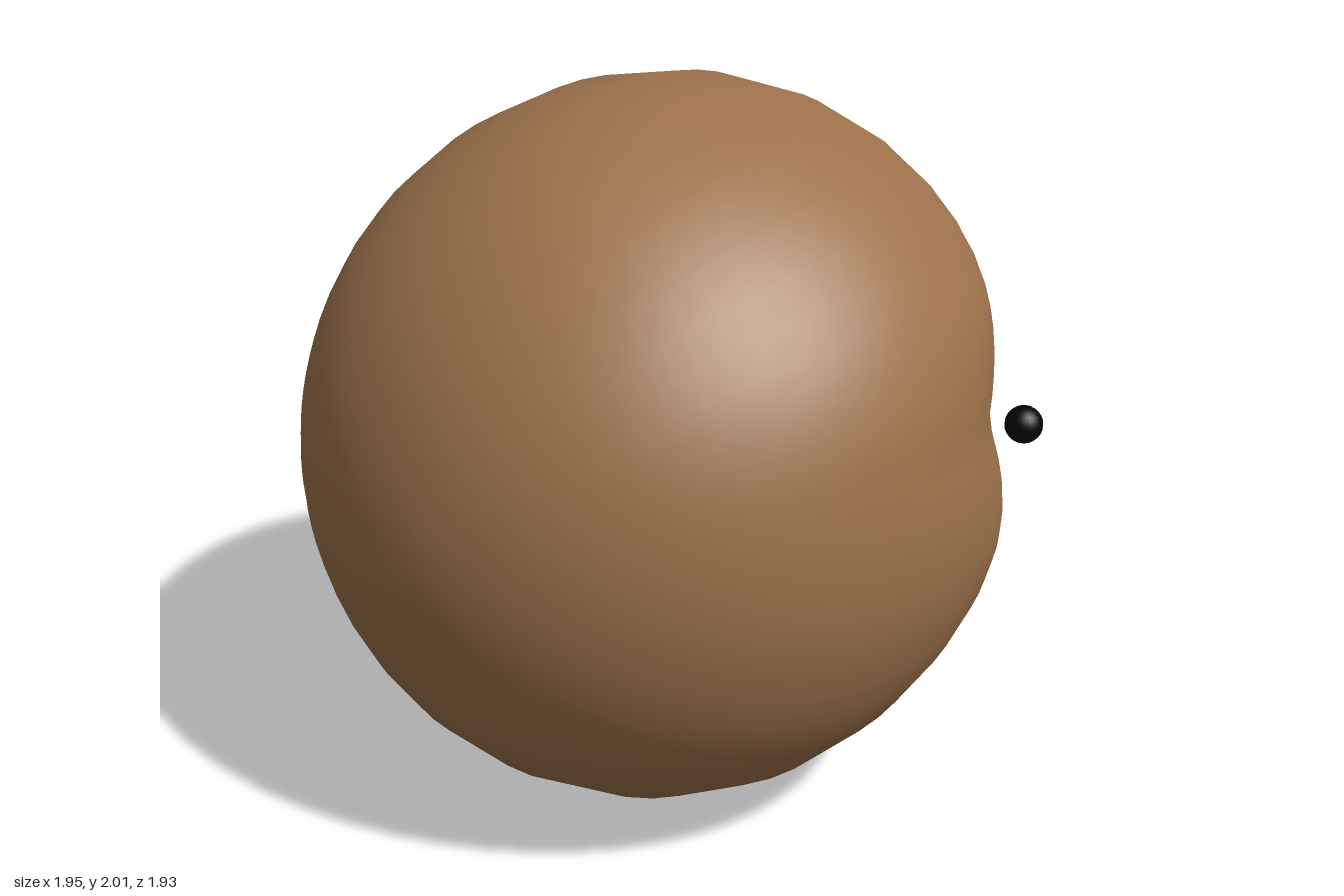
import * as THREE from 'three';
import { mergeVertices } from 'three/addons/utils/BufferGeometryUtils.js';

const SEG = 48;
const V = (x, y, z) => new THREE.Vector3(x, y, z);

// Closed skin through a list of rings with equal point counts
function loft(rings, flip) {
  const pos = [], idx = [];
  rings.forEach(r => r.forEach(p => pos.push(p.x, p.y, p.z)));
  for (let i = 0; i < rings.length - 1; i++) {
    for (let j = 0; j < SEG; j++) {
      const k = (j + 1) % SEG;
      const a = i * SEG + j, b = i * SEG + k, c = a + SEG, d = b + SEG;
      if (flip) idx.push(a, c, b, b, c, d);
      else idx.push(a, b, c, b, d, c);
    }
  }
  let geo = new THREE.BufferGeometry();
  geo.setAttribute('position', new THREE.Float32BufferAttribute(pos, 3));
  geo.setIndex(idx);
  geo = mergeVertices(geo, 1e-4);
  geo.computeVertexNormals();
  return geo;
}

// Mouth outline relative to the head centre: left corner, over the top, right corner, underneath
function mouthRim() {
  const upper = [[0.7, 0.24, -0.54], [0.59, 0.35, -0.66], [0.35, 0.43, -0.79]];
  const lower = [[0.7, -0.03, -0.55], [0.58, -0.19, -0.69], [0.34, -0.32, -0.84]];
  const v = p => V(...p), m = p => V(-p[0], p[1], p[2]);
  const pts = [
    V(0.75, 0.11, -0.5), ...upper.map(v), V(0, 0.47, -0.84), ...upper.map(m).reverse(),
    V(-0.75, 0.11, -0.5), ...lower.map(m), V(0, -0.38, -0.9), ...lower.map(v).reverse(),
  ];
  return new THREE.CatmullRomCurve3(pts, true).getPoints(SEG).slice(0, SEG);
}

// Head: sweeps from the lips around to the front, with swollen jaw and upper lip and flatter cheeks
function headRings(rim) {
  const rows = 30, rings = [];
  for (let i = 0; i <= rows; i++) {
    const t = Math.pow(i / rows, 1.4);
    rings.push(rim.map(p => {
      const dir = p.clone().normalize();
      const total = dir.angleTo(V(0, 0, 1));
      const axis = dir.clone().cross(V(0, 0, 1)).normalize();
      const angle = t * total;
      const d = dir.clone().applyAxisAngle(axis, angle);
      const base = 1 / Math.hypot(d.x / 0.978, d.y / 0.998, d.z / 0.97);
      const up = THREE.MathUtils.clamp((p.y - 0.1) / 0.37, 0, 1);
      const down = THREE.MathUtils.clamp((0.1 - p.y) / 0.48, 0, 1) ** 1.5;
      const corner = (1 - up) * (1 - down);
      const deg = THREE.MathUtils.radToDeg(angle);
      const lift = 0.07 * up * Math.exp(-((deg / 52) ** 3))
        + 0.115 * down * Math.exp(-((deg / 29) ** 2))
        - 0.04 * corner * Math.exp(-((deg / 25) ** 2));
      const w = Math.min(deg / 8, 1);
      const round = Math.sqrt(1 - (1 - w) ** 2);
      return d.multiplyScalar(THREE.MathUtils.lerp(p.length(), base + lift, round));
    }));
  }
  return rings;
}

// Mouth cavity: sloping floor below, arched roof above
function cavityRings(rim) {
  const rows = 14, rings = [], end = V(0, 0.3, -0.03);
  for (let i = 0; i <= rows; i++) {
    const s = i / rows;
    rings.push(rim.map(p => {
      const q = p.clone().lerp(end, s);
      if (p.y < 0.14) {
        const above = Math.max(q.y - q.z - 0.33, 0) * Math.min(s / 0.15, 1);
        q.y -= above / 2;
        q.z += above / 2;
      } else {
        q.y += 0.08 * Math.sin(Math.PI * s);
      }
      return q;
    }));
  }
  return rings;
}

export function createModel() {
  const mat = (name, color) => {
    const m = new THREE.MeshStandardMaterial({ color });
    m.name = name;
    return m;
  };
  const brown = mat('brown skin', 0x9d724b);
  const black = mat('black', 0x050505);
  const red = mat('tongue red', 0xa2342c);

  const model = new THREE.Group();
  model.name = 'roundCreature';
  const body = new THREE.Group();
  body.name = 'body';
  body.position.y = 1;
  body.rotation.z = 0.05; // slight sideways tilt
  model.add(body);

  const add = (name, geo, material) => {
    const mesh = new THREE.Mesh(geo, material);
    mesh.name = name;
    body.add(mesh);
    return mesh;
  };

  const rim = mouthRim();
  add('head', loft(headRings(rim), false), brown);
  add('mouthCavity', loft(cavityRings(rim), true), black);

  // Tongue: flattened dome lying on the sloping floor
  const tongue = add('tongue', new THREE.SphereGeometry(1, 32, 20), red);
  tongue.scale.set(0.46, 0.155, 0.45);
  tongue.position.set(-0.03, 0, -0.33);
  tongue.rotation.x = -Math.PI / 4;

  // Eyes floating beside the mouth corners
  for (const side of [1, -1]) {
    const eye = add(side > 0 ? 'leftEye' : 'rightEye', new THREE.SphereGeometry(0.052, 20, 14), black);
    eye.position.set(side * 0.888, 0.075, -0.508);
  }
  return model;
}
